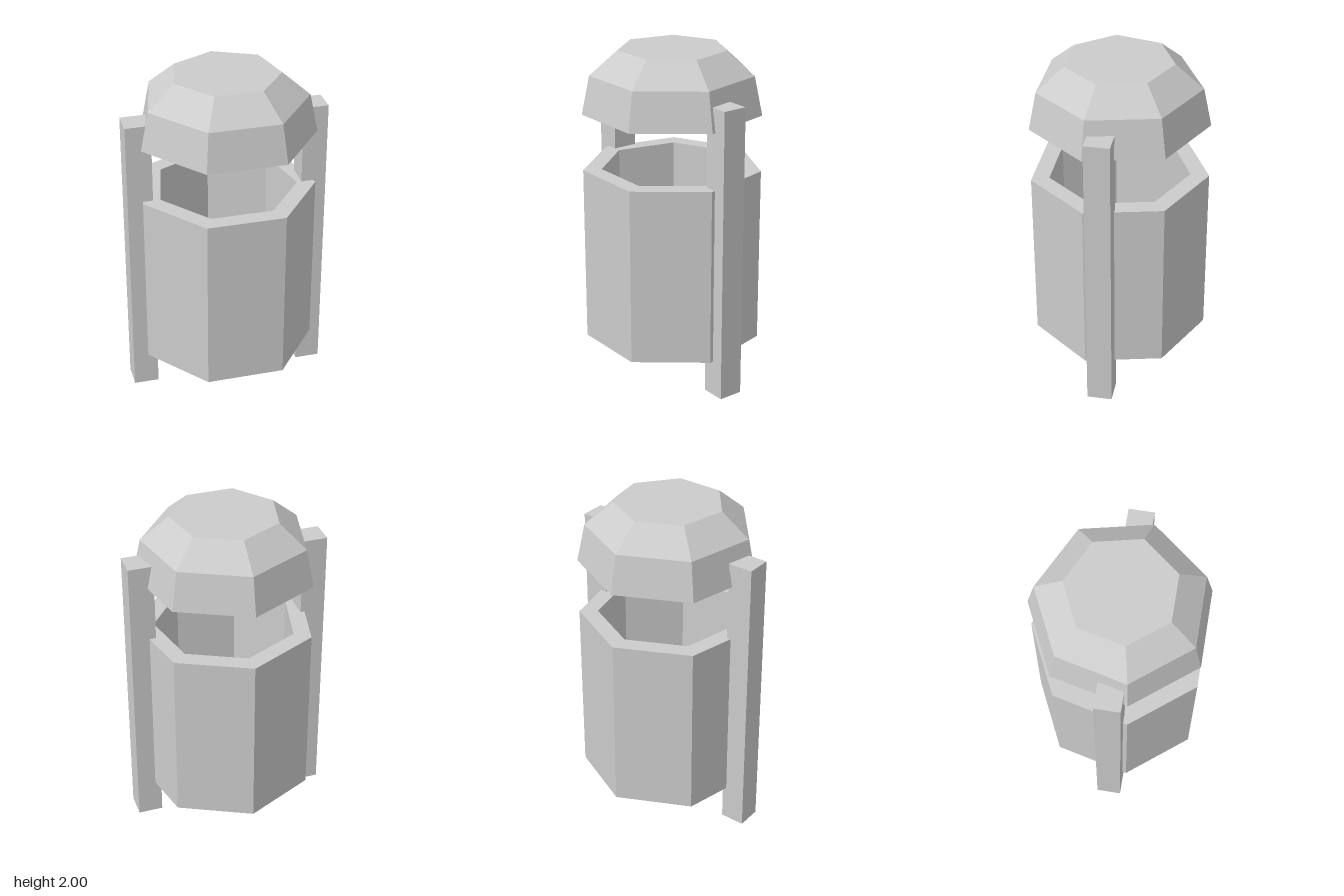
import * as THREE from 'three';

const SIDES = 7;

export function createModel() {
  const group = new THREE.Group();
  const material = new THREE.MeshStandardMaterial({ color: 0xcccccc, flatShading: true });

  const add = (name, geometry, x, y, z) => {
    const mesh = new THREE.Mesh(geometry, material);
    mesh.name = name;
    mesh.position.set(x, y, z);
    group.add(mesh);
  };

  // Seven-sided solid from a [radius, height] profile, one corner to the back
  const heptagon = (profile) =>
    new THREE.LatheGeometry(profile.map(([r, y]) => new THREE.Vector2(r, y)), SIDES, Math.PI);

  // Hollow container: floor, outer wall, rim, inner wall, inner floor
  add('bin', heptagon([
    [0, 0.22], [0.535, 0.22], [0.535, 1.29], [0.425, 1.29], [0.425, 0.32], [0, 0.32],
  ]), 0.007, 0, 0.026);

  // Faceted dome with a flat underside and top
  add('lid', heptagon([
    [0, 1.63], [0.535, 1.63], [0.487, 1.86], [0.322, 2], [0, 2],
  ]), 0.007, 0, 0.026);

  // Square posts that carry the bin and the lid
  for (const [name, side] of [['leftPost', 1], ['rightPost', -1]]) {
    add(name, new THREE.BoxGeometry(0.15, 1.77, 0.15), side * 0.525, 0.885, 0.045);
  }

  return group;
}
